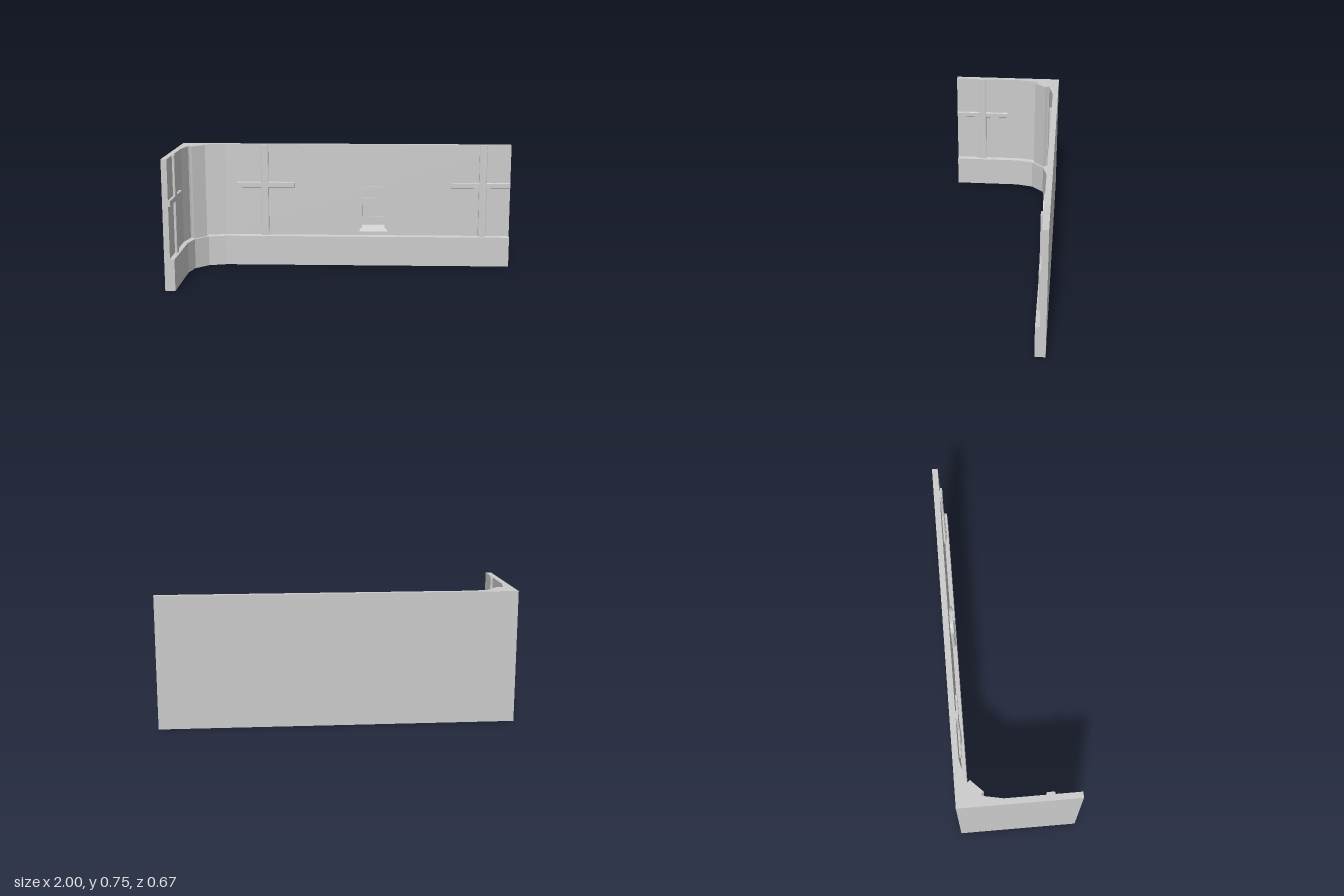
import * as THREE from 'three';

const material = new THREE.MeshStandardMaterial({ color: 0xcccccc, flatShading: true, side: THREE.DoubleSide });

function mesh(name, geometry, parent) {
  const m = new THREE.Mesh(geometry, material);
  m.name = name;
  parent.add(m);
  return m;
}

function box(name, parent, x0, x1, y0, y1, z0, z1) {
  const m = mesh(name, new THREE.BoxGeometry(x1 - x0, y1 - y0, z1 - z0), parent);
  m.position.set((x0 + x1) / 2, (y0 + y1) / 2, (z0 + z1) / 2);
  return m;
}

// L-shaped plan: square outside corner, faceted rounded inside corner
function plan(curve) {
  const first = curve[0], last = curve[curve.length - 1];
  return [[-1, -0.333], [-1, 0.333], [first[0], 0.333], ...curve, [1, last[1]], [1, -0.333]];
}

// Stack the plans into one closed solid
function loft(levels) {
  const pos = [], index = [], n = levels[0].plan.length;
  for (const { y, plan: p } of levels) for (const [x, z] of p) pos.push(x, y, z);
  for (let k = 0; k < levels.length - 1; k++) {
    for (let i = 0; i < n; i++) {
      const a = k * n + i, b = k * n + (i + 1) % n;
      index.push(a, b, b + n, a, b + n, a + n);
    }
  }
  const top = (levels.length - 1) * n;
  const cap = (p) => THREE.ShapeUtils.triangulateShape(p.map(([x, z]) => new THREE.Vector2(x, -z)), []);
  for (const [a, b, c] of cap(levels[0].plan)) index.push(a, c, b);
  for (const [a, b, c] of cap(levels[levels.length - 1].plan)) index.push(top + a, top + b, top + c);
  const g = new THREE.BufferGeometry();
  g.setAttribute('position', new THREE.Float32BufferAttribute(pos, 3));
  g.setIndex(index);
  const flat = g.toNonIndexed();
  flat.computeVertexNormals();
  return flat;
}

// Timber strip along y with narrow chamfered front edges
function timber(name, parent, width, length, depth) {
  const w = width / 2, c = 0.003;
  const s = new THREE.Shape([[-w, 0.01], [w, 0.01], [w, -depth + c], [w - c, -depth], [c - w, -depth], [-w, -depth + c]]
    .map(([x, y]) => new THREE.Vector2(x, y)));
  const g = new THREE.ExtrudeGeometry(s, { depth: length, bevelEnabled: false });
  return mesh(name, g.rotateX(-Math.PI / 2), parent);
}

// Post with a cross rail, facing local +z
function timberCross(name, parent, left, right) {
  const g = new THREE.Group();
  g.name = name;
  timber('post', g, 0.046, 0.5655, 0.0135).position.y = 0.184;
  const rail = timber('rail', g, 0.034, left + right, 0.0125);
  rail.rotation.z = -Math.PI / 2;
  rail.position.set(-left, 0.501, 0);
  parent.add(g);
  return g;
}

// Opening with rounded shoulders
function arch(w, y0, y1, r, Type = THREE.Shape) {
  const s = new Type();
  s.moveTo(-w, y0);
  s.lineTo(w, y0);
  s.lineTo(w, y1 - r);
  s.absarc(w - r, y1 - r, r, 0, Math.PI / 2, false);
  s.lineTo(r - w, y1);
  s.absarc(r - w, y1 - r, r, Math.PI / 2, Math.PI, false);
  s.lineTo(-w, y0);
  return s;
}

function archBand(name, parent, outer, inner, depth) {
  const s = arch(...outer);
  s.holes.push(arch(...inner, THREE.Path));
  return mesh(name, new THREE.ExtrudeGeometry(s, { depth, bevelEnabled: false, curveSegments: 5 }), parent);
}

function archedWindow(parent) {
  const g = new THREE.Group();
  g.name = 'window';
  g.position.set(0.1675, 0, -0.3);
  parent.add(g);

  archBand('frame', g, [0.088, 0.216, 0.495, 0.066], [0.068, 0.235, 0.477, 0.05], 0.015);

  // Raised hood over the arch
  const hood = new THREE.Shape();
  hood.moveTo(0.086, 0.43);
  hood.absarc(0.026, 0.432, 0.06, 0, Math.PI / 2, false);
  hood.absarc(-0.026, 0.432, 0.06, Math.PI / 2, Math.PI, false);
  hood.lineTo(-0.072, 0.43);
  hood.absarc(-0.026, 0.432, 0.046, Math.PI, Math.PI / 2, true);
  hood.absarc(0.026, 0.432, 0.046, Math.PI / 2, 0, true);
  mesh('hood', new THREE.ExtrudeGeometry(hood, { depth: 0.019, bevelEnabled: false, curveSegments: 5 }), g);

  // Sloping sill, narrower at the top
  const sill = box('sill', g, -0.088, 0.088, 0.214, 0.253, 0, 0.023);
  const p = sill.geometry.attributes.position;
  for (let i = 0; i < p.count; i++) {
    if (p.getY(i) > 0) {
      p.setX(i, p.getX(i) * 0.78);
      if (p.getZ(i) > 0) p.setZ(i, -0.004);
    }
  }
  sill.geometry.computeVertexNormals();

  // Glazing bars
  box('mullion', g, -0.006, 0.006, 0.25, 0.48, -0.004, 0.007);
  for (const y of [0.302, 0.36, 0.42]) box('glazingBar', g, -0.07, 0.07, y - 0.005, y + 0.005, -0.004, 0.006);
}

export function createModel() {
  const model = new THREE.Group();
  model.name = 'cornerWall';

  // Wall and plinth
  const plinth = plan([[-0.942, -0.07], [-0.918, -0.172], [-0.845, -0.247], [-0.74, -0.275]]);
  const wall = plan([[-0.967, -0.08], [-0.945, -0.19], [-0.862, -0.275], [-0.74, -0.3]]);
  mesh('wallWithPlinth', loft([
    { y: 0, plan: plinth }, { y: 0.182, plan: plinth }, { y: 0.187, plan: wall }, { y: 0.75, plan: wall },
  ]), model);

  // Flat pilaster across the inside corner
  const pilaster = box('cornerPilaster', model, -0.048, 0.048, 0.183, 0.7495, -0.045, 0);
  pilaster.geometry.translate(0, 0, -0.0225);
  pilaster.position.set(-0.8885, pilaster.position.y, -0.216);
  pilaster.rotation.y = Math.PI / 4;

  // Timber crosses on both walls
  timberCross('backCrossRight', model, 0.172, 0.183).position.set(-0.498, 0, -0.3);
  timberCross('backCrossLeft', model, 0.188, 0.167).position.set(0.833, 0, -0.3);
  const side = timberCross('sideCross', model, 0.168, 0.165);
  side.position.set(-0.967, 0, 0.165);
  side.rotation.y = Math.PI / 2;

  archedWindow(model);
  return model;
}
